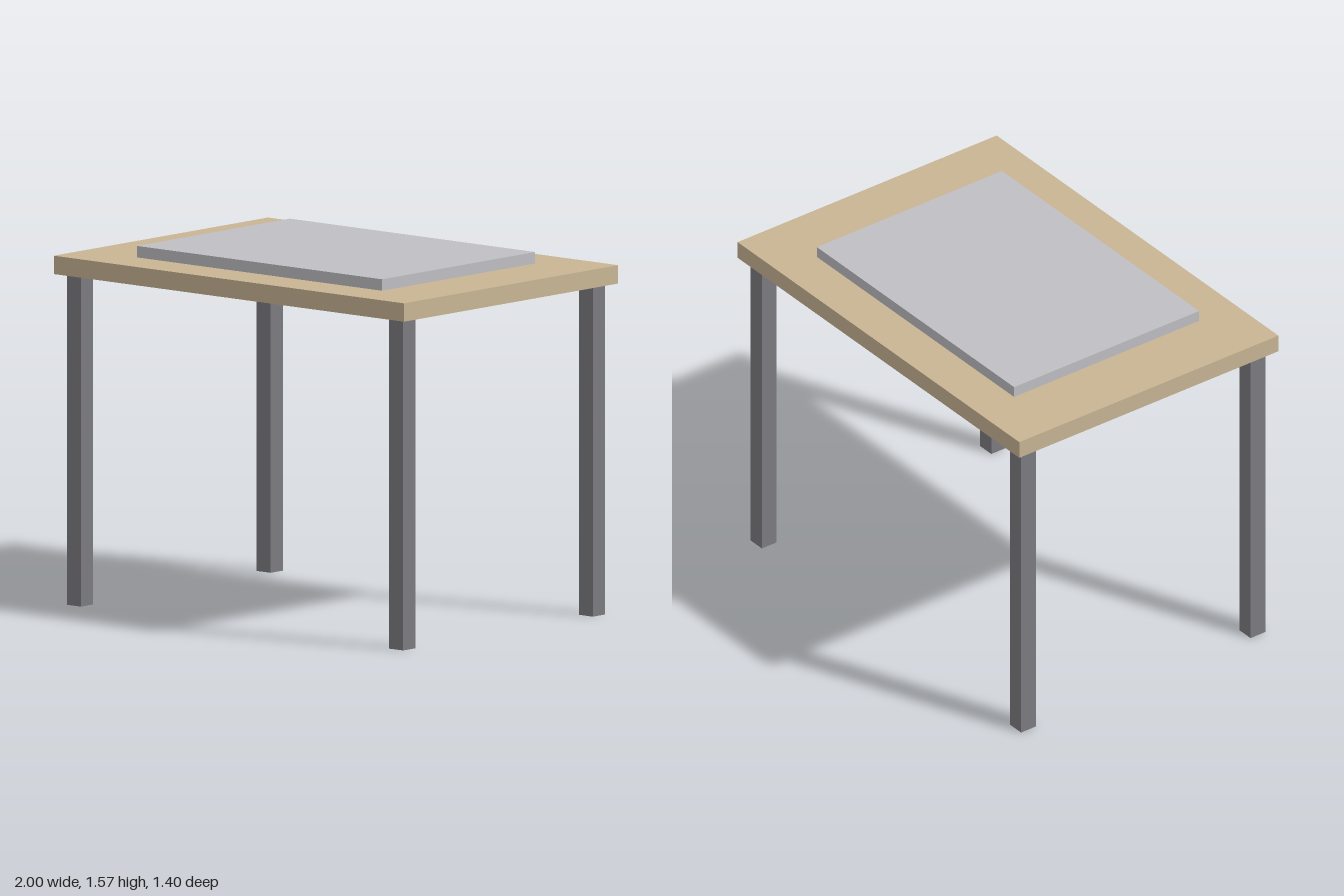
import * as THREE from 'three';

export function createModel() {
  const model = new THREE.Group();
  const wood = new THREE.MeshStandardMaterial({ color: 0xc8b594 });
  const metal = new THREE.MeshStandardMaterial({ color: 0x7c7b80 });
  const plate = new THREE.MeshStandardMaterial({ color: 0xbfbfc4 });

  // Box resting on height y
  const addBox = (name, material, [w, h, d], x, y, z) => {
    const mesh = new THREE.Mesh(new THREE.BoxGeometry(w, h, d), material);
    mesh.name = name;
    mesh.position.set(x, y + h / 2, z);
    model.add(mesh);
  };

  // Four square legs, slightly inset from the corners
  for (const [side, sx] of [['Left', 1], ['Right', -1]]) {
    for (const [end, sz] of [['front', 1], ['back', -1]]) {
      addBox(`${end}${side}Leg`, metal, [0.08, 1.44, 0.08], sx * 0.92, 0, sz * 0.62);
    }
  }

  // Table top and the raised panel on it
  addBox('tableTop', wood, [2, 0.08, 1.4], 0, 1.44, 0);
  addBox('raisedPanel', plate, [1.4, 0.05, 1], 0, 1.52, 0);

  return model;
}
